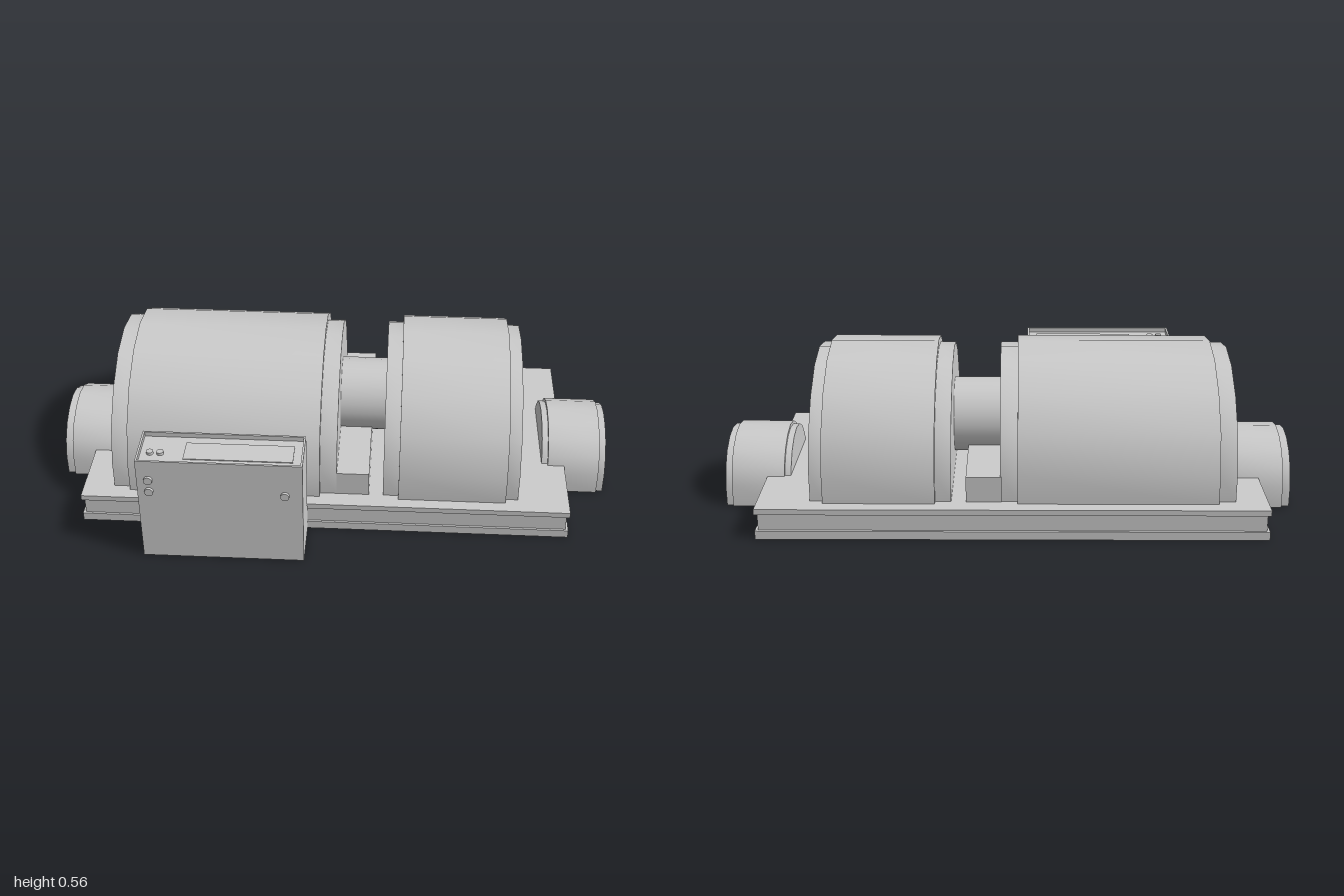
import * as THREE from 'three';
import { toCreasedNormals } from 'three/addons/utils/BufferGeometryUtils.js';

const AXIS_Z = -0.09;

export function createModel() {
  const model = new THREE.Group();
  const grey = new THREE.MeshStandardMaterial({ color: 0xcccccc });
  const shell = new THREE.MeshStandardMaterial({ color: 0xcccccc, side: THREE.DoubleSide });

  const add = (name, geometry, material = grey, parent = model) => {
    const mesh = new THREE.Mesh(geometry, material);
    mesh.name = name;
    parent.add(mesh);
    return mesh;
  };

  // Box given by its lower and upper limits on each axis
  const box = (name, [x0, x1], [y0, y1], [z0, z1], parent = model) =>
    add(name, new THREE.BoxGeometry(x1 - x0, y1 - y0, z1 - z0), grey, parent)
      .position.set((x0 + x1) / 2, (y0 + y1) / 2, (z0 + z1) / 2);

  // Mirror half an arch profile [half width, height] into a full one
  const mirrorArch = (half) => [...half, ...half.slice(0, -1).reverse().map(([z, y]) => [-z, y])];

  // Arched housing, open below, with a raised middle band and closed ends
  const housing = (name, x, inner, outer) => {
    const a = mirrorArch(inner), b = mirrorArch(outer);
    const rings = [[x[0], a], [x[1], a], [x[1], b], [x[2], b], [x[2], a], [x[3], a]];
    const n = a.length, pos = [], index = [];
    for (const [rx, ring] of rings) for (const [z, y] of ring) pos.push(rx, y, AXIS_Z + z);
    for (let r = 0; r < rings.length - 1; r++) {
      for (let i = 0; i < n - 1; i++) {
        const p = r * n + i, q = p + n;
        index.push(p, q, p + 1, q, q + 1, p + 1);
      }
    }
    const last = (rings.length - 1) * n;
    for (let i = 1; i < n - 1; i++) {
      index.push(0, i, i + 1, last, last + i + 1, last + i);
    }
    const g = new THREE.BufferGeometry();
    g.setAttribute('position', new THREE.Float32BufferAttribute(pos, 3));
    g.setIndex(index);
    add(name, toCreasedNormals(g, 0.6), shell);
  };

  // Base frame with a recessed web between two flanges
  box('baseBottomFlange', [-0.885, 0.85], [0, 0.03], [-0.55, 0.365]);
  box('baseWeb', [-0.875, 0.84], [0.03, 0.09], [-0.54, 0.357]);
  box('baseTopFlange', [-0.885, 0.85], [0.09, 0.11], [-0.55, 0.365]);

  // Two large machine housings
  const bigInner = [[0.39, 0.11], [0.39, 0.21], [0.345, 0.338], [0.255, 0.44], [0.135, 0.511], [0, 0.535]];
  const bigOuter = [[0.411, 0.11], [0.411, 0.213], [0.365, 0.35], [0.27, 0.46], [0.143, 0.533], [0, 0.558]];
  housing('longHousing', [-0.775, -0.715, -0.035, 0.025], bigInner, bigOuter);
  housing('shortHousing', [0.19, 0.245, 0.625, 0.67], bigInner, bigOuter);

  // Small housings overhanging both ends of the base
  const endInner = [[0.185, 0], [0.185, 0.075], [0.164, 0.135], [0.122, 0.185], [0.065, 0.215], [0, 0.226]];
  const endOuter = [[0.195, 0], [0.195, 0.08], [0.174, 0.143], [0.13, 0.193], [0.07, 0.225], [0, 0.237]];
  housing('rightEndHousing', [-1, -0.972, -0.793, -0.77], endInner, endOuter);
  housing('leftEndHousing', [0.768, 0.79, 0.976, 1], endInner, endOuter);

  // Shaft coupling and its pedestal between the large housings
  const shaft = add('shaftCoupling', new THREE.CylinderGeometry(0.134, 0.134, 0.18, 24));
  shaft.rotation.z = Math.PI / 2;
  shaft.position.set(0.107, 0.28, AXIS_Z);
  box('shaftPedestal', [0.02, 0.14], [0.11, 0.2], [-0.485, 0.3]);

  // Control cabinet with a shallow tray in its top
  const cabinet = new THREE.Group();
  cabinet.name = 'controlCabinet';
  model.add(cabinet);
  const x = [-0.635, -0.075], z = [0.37, 0.54], rim = 0.007, floor = 0.395, top = 0.412;
  box('cabinetBody', x, [0, floor], z, cabinet);
  box('cabinetRimBack', x, [floor, top], [z[0], z[0] + rim], cabinet);
  box('cabinetRimFront', x, [floor, top], [z[1] - rim, z[1]], cabinet);
  box('cabinetRimRight', [x[0], x[0] + rim], [floor, top], [z[0] + rim, z[1] - rim], cabinet);
  box('cabinetRimLeft', [x[1] - rim, x[1]], [floor, top], [z[0] + rim, z[1] - rim], cabinet);
  box('cabinetTopPanel', [-0.48, -0.11], [floor, floor + 0.003], [0.41, 0.5], cabinet);

  // Push buttons on the cabinet front and top
  const button = (name, r, px, py, pz) => {
    const b = add(name, new THREE.CylinderGeometry(r, r, 0.02, 16), grey, cabinet);
    b.position.set(px, py, pz);
    return b;
  };
  for (const [px, py] of [[-0.595, 0.335], [-0.595, 0.287], [-0.135, 0.287]]) {
    button('frontButton', 0.015, px, py, 0.54).rotation.x = Math.PI / 2;
  }
  for (const px of [-0.595, -0.56]) button('topButton', 0.012, px, floor, 0.472);

  return model;
}
